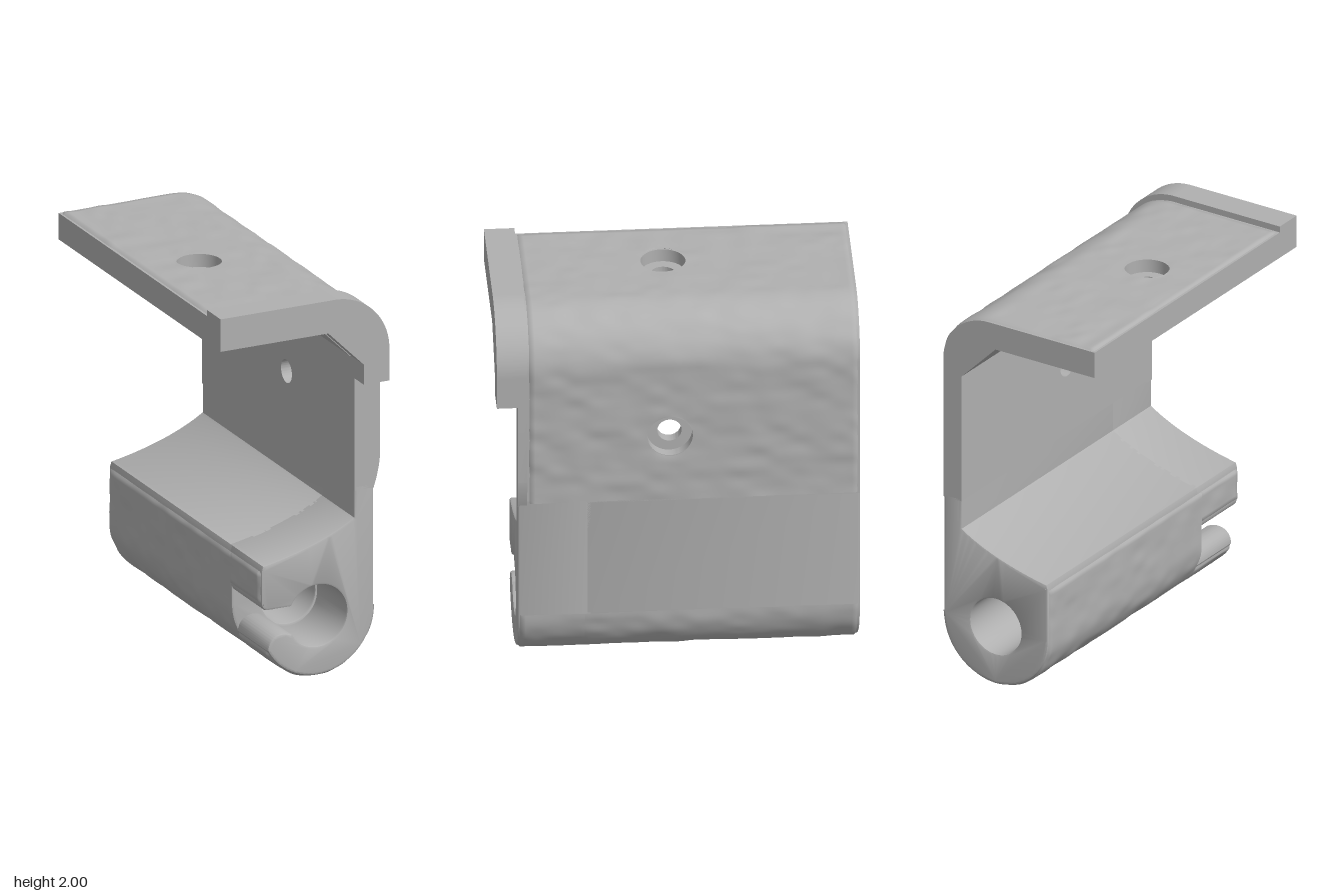
import * as THREE from 'three';
import { toCreasedNormals } from 'three/addons/utils/BufferGeometryUtils.js';

const BACK = -0.895, FRONT = 0.895, LIP = 0.745, NOSE = 0.79, SLOT = 0.46;
const SKIN = 0.012; // thickness of the hammered skin over the plain core
const CX = 0.12, CY = 0.32, R = 0.32; // barrel axis and radius

const metal = new THREE.MeshStandardMaterial({ color: 0xb0b0b0, side: THREE.DoubleSide });
metal.name = 'grey metal';

// screw holes through the arm (axis y) and the wall (axis x)
const HOLES = [
  { c: new THREE.Vector3(-0.155, 1.98, 0.035), u: 'x', n: 'y' },
  { c: new THREE.Vector3(0.44, 1.32, 0.04), u: 'y', n: 'x' },
];
const BORE = 0.06, COUNTERBORE = 0.112;

// smooth value noise in 0..1
function hash(x, y, z) {
  const s = Math.sin(x * 127.1 + y * 311.7 + z * 74.7) * 43758.5453;
  return s - Math.floor(s);
}
function noise(x, y, z) {
  const i = [x, y, z].map(Math.floor);
  const f = [x - i[0], y - i[1], z - i[2]].map(t => t * t * (3 - 2 * t));
  let sum = 0;
  for (let k = 0; k < 8; k++) {
    const d = [k & 1, (k >> 1) & 1, k >> 2];
    const w = d.reduce((p, b, a) => p * (b ? f[a] : 1 - f[a]), 1);
    sum += w * hash(i[0] + d[0], i[1] + d[1], i[2] + d[2]);
  }
  return sum;
}

function add(group, name, geometry) {
  const mesh = new THREE.Mesh(geometry, metal);
  mesh.name = name;
  group.add(mesh);
}

// extrude a front-view outline from z0 to z1, optionally with softened ends
function slab(shape, z0, z1, bevel = 0) {
  const g = new THREE.ExtrudeGeometry(shape, {
    depth: z1 - z0 - 2 * bevel, curveSegments: 32, bevelEnabled: bevel > 0,
    bevelSize: bevel, bevelThickness: bevel, bevelOffset: -bevel, bevelSegments: 2,
  });
  g.translate(0, 0, z0 + bevel);
  return toCreasedNormals(g, 0.5);
}

function polygon(points) {
  return new THREE.Shape(points.map(p => new THREE.Vector2(...p)));
}

// flat rectangular plate with one round hole, built in the xy plane
function plate(x0, x1, y0, y1, depth, hx, hy, r) {
  const s = polygon([[x0, y0], [x1, y0], [x1, y1], [x0, y1]]);
  s.holes.push(new THREE.Path().absarc(hx, hy, r, 0, Math.PI * 2, true));
  return slab(s, 0, depth);
}

// hammered skin swept along a path; ends flagged true roll down onto the core
function skin(path, z0, z1, { start, end, back, front }) {
  const length = path.getLength(), step = 0.02;
  const n = Math.ceil(length / step), m = Math.ceil((z1 - z0) / step);
  const pos = [], idx = [], cut = [];
  const roll = d => 0.024 * Math.max(0, 1 - d / 0.02);
  for (let i = 0; i <= n; i++) {
    const p = path.getPointAt(i / n), t = path.getTangentAt(i / n), s = (i / n) * length;
    for (let j = 0; j <= m; j++) {
      const z = z0 + (z1 - z0) * j / m;
      let off = 0.008 * noise(p.x * 16 + 40, p.y * 16 + 40, z * 10 + 40);
      off = Math.max(off,
        start ? roll(s) : 0, end ? roll(length - s) : 0,
        back ? roll(z - z0) : 0, front ? roll(z1 - z) : 0);
      const v = new THREE.Vector3(p.x + t.y * off, p.y - t.x * off, z);
      // bend the grid around the screw holes
      let inside = false;
      for (const h of HOLES) {
        const du = v[h.u] - h.c[h.u], dz = z - h.c.z;
        const q = Math.max(Math.abs(du), Math.abs(dz)), lo = 0.09, hi = 0.17;
        if (q > hi || Math.abs(v[h.n] - h.c[h.n]) > 0.05) continue;
        const k = Math.max(0, (q - lo) / (hi - lo)), r = Math.hypot(du, dz) || 1;
        const scale = (1 - k) * COUNTERBORE / r + k * hi / (q || 1);
        v[h.u] = h.c[h.u] + du * scale;
        v.z = h.c.z + dz * scale;
        inside = q <= lo;
      }
      pos.push(v.x, v.y, v.z);
      cut.push(inside);
    }
  }
  for (let i = 0; i < n; i++) for (let j = 0; j < m; j++) {
    const a = i * (m + 1) + j, b = a + 1, c = a + m + 1, d = c + 1;
    if (cut[a] && cut[b] && cut[c] && cut[d]) continue;
    idx.push(a, b, c, b, d, c);
  }
  const g = new THREE.BufferGeometry();
  g.setAttribute('position', new THREE.Float32BufferAttribute(pos, 3));
  g.setIndex(idx);
  g.computeVertexNormals();
  return g;
}

// start of the barrel outline: wall root, curved shelf, left side
function barrelTop() {
  const s = new THREE.Shape();
  s.moveTo(0.44 - SKIN, 0.97);
  s.lineTo(0.32, 0.97);
  s.lineTo(0.32, 0.8);
  s.quadraticCurveTo(0.14, 0.685, -0.18, 0.625);
  s.lineTo(-0.2 + SKIN, 0.6);
  return s;
}

export function createModel() {
  const model = new THREE.Group();
  model.name = 'bracket';
  const r = R - SKIN;

  // arm and wall, each in two layers to form the counterbored holes
  const [armHole, wallHole] = HOLES.map(h => h.c);
  for (const [y0, y1, rad] of [[1.83, 1.9, BORE], [1.9, 1.98 - SKIN, COUNTERBORE]]) {
    const g = plate(-0.465, 0.12, -LIP, -BACK, y1 - y0, armHole.x, -armHole.z, rad);
    add(model, 'arm', g.rotateX(-Math.PI / 2).translate(0, y0, 0));
  }
  for (const [x0, x1, rad] of [[0.32, 0.375, BORE], [0.375, 0.44 - SKIN, COUNTERBORE]]) {
    const g = plate(-LIP, -BACK, 0.95, 1.63, x1 - x0, -wallHole.z, wallHole.y, rad);
    add(model, 'wall', g.rotateY(Math.PI / 2).translate(x0, 0, 0));
  }

  // rounded corner with a sloped inner gusset
  const corner = new THREE.Shape();
  corner.moveTo(0.12, 1.83);
  corner.lineTo(0.12, 1.98 - SKIN);
  corner.absarc(0.16, 1.7, 0.28 - SKIN, Math.PI / 2, 0, true);
  corner.lineTo(0.44 - SKIN, 1.63);
  corner.lineTo(0.32, 1.63);
  add(model, 'corner', slab(corner, BACK, LIP));

  // raised front lip
  const lip = new THREE.Shape();
  lip.moveTo(-0.465, 1.83);
  lip.lineTo(-0.465, 2);
  lip.absarc(0.16, 1.7, 0.3, Math.PI / 2, 0, true);
  for (const p of [[0.46, 1.53], [0.32, 1.53], [0.32, 1.635], [0.125, 1.83]]) lip.lineTo(...p);
  add(model, 'frontLip', slab(lip, LIP, FRONT));

  // thin front edge below the lip, fading into the wall
  const edge = new THREE.Shape();
  edge.moveTo(0.32, 1.53);
  edge.lineTo(0.46, 1.53);
  edge.lineTo(0.46, 1.1);
  edge.quadraticCurveTo(0.455, 1.03, 0.425, 0.94);
  edge.lineTo(0.32, 0.94);
  add(model, 'frontEdge', slab(edge, LIP, NOSE));

  // barrel with a through bore
  const barrel = barrelTop();
  barrel.absarc(CX, CY, r, Math.PI, Math.PI * 2, false);
  barrel.holes.push(new THREE.Path().absarc(CX, CY, 0.148, 0, Math.PI * 2, true));
  add(model, 'barrel', slab(barrel, BACK, SLOT, SKIN));

  // front of the barrel, slotted to leave a hook
  const hook = barrelTop();
  hook.lineTo(-0.2 + SKIN, 0.43);
  hook.quadraticCurveTo(-0.185, 0.392, -0.15, 0.39);
  hook.absarc(CX, CY, 0.16, 2.69, -2.62, true);
  hook.lineTo(-0.05, 0.252);
  hook.bezierCurveTo(-0.1, 0.262, -0.15, 0.24, CX + r * Math.cos(3.62), CY + r * Math.sin(3.62));
  hook.absarc(CX, CY, r, 3.62, Math.PI * 2, false);
  add(model, 'hook', slab(hook, SLOT - 0.04, NOSE, SKIN));

  // hammered outer skins
  const upper = new THREE.Path().moveTo(-0.465, 1.98);
  upper.lineTo(0.16, 1.98);
  upper.absarc(0.16, 1.7, 0.28, Math.PI / 2, 0, true);
  upper.lineTo(0.44, 0.96);
  add(model, 'upperSkin', skin(upper, BACK, LIP, { start: true, back: true, front: true }));

  const lower = new THREE.Path().moveTo(0.44, 0.96);
  lower.absarc(CX, CY, R, 0, -Math.PI, true);
  lower.lineTo(-0.2, 0.605);
  add(model, 'barrelSkin', skin(lower, BACK, SLOT, { end: true, back: true }));

  const nose = new THREE.Path().moveTo(0.44, 0.96);
  nose.absarc(CX, CY, R, 0, 3.62 - Math.PI * 2, true);
  add(model, 'hookSkin', skin(nose, SLOT, NOSE, { end: true, front: true }));

  const jaw = new THREE.Path().moveTo(-0.2, 0.42);
  jaw.lineTo(-0.2, 0.605);
  add(model, 'jawSkin', skin(jaw, SLOT, NOSE, { start: true, end: true, front: true }));

  return model;
}
